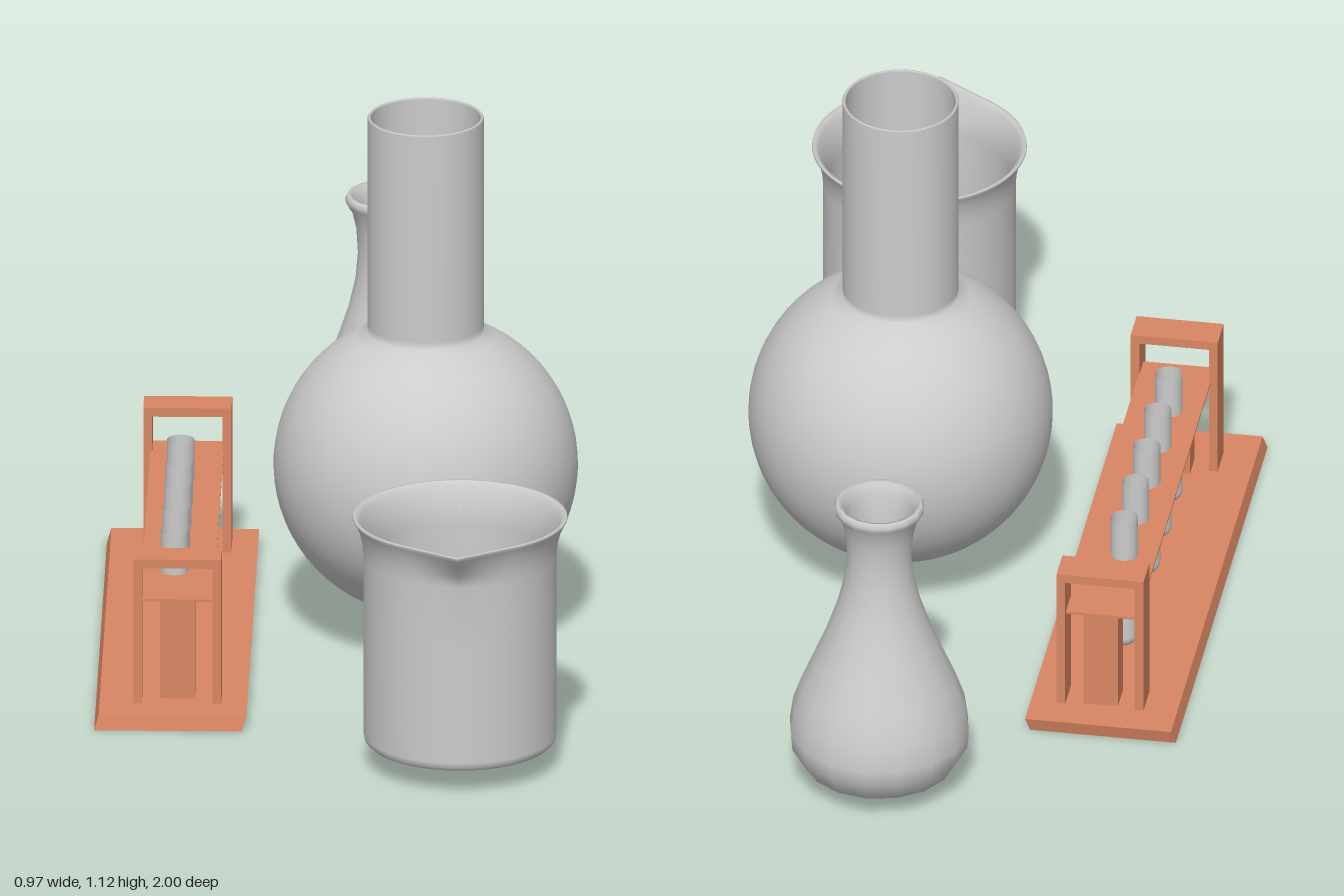
import * as THREE from 'three';

const mat = (color, side = THREE.FrontSide) => new THREE.MeshStandardMaterial({ color, side });
const glass = mat(0xcccccc, THREE.DoubleSide);
const wood = mat(0xd98663);

function add(parent, name, geometry, material, x = 0, y = 0, z = 0) {
  const mesh = new THREE.Mesh(geometry, material);
  mesh.name = name;
  mesh.position.set(x, y, z);
  parent.add(mesh);
  return mesh;
}

function group(parent, name, x = 0, y = 0, z = 0) {
  const g = new THREE.Group();
  g.name = name;
  g.position.set(x, y, z);
  parent.add(g);
  return g;
}

const lathe = (points, sides) =>
  new THREE.LatheGeometry(points.map(([r, y]) => new THREE.Vector2(r, y)), sides, Math.PI);

function addLiquid(parent, radius, y, color, sides) {
  add(parent, 'liquid', new THREE.CircleGeometry(radius, sides).rotateX(-Math.PI / 2),
    mat(color, THREE.DoubleSide), 0, y, 0);
}

// Box given by its limits on each axis
function addBoard(parent, name, [x0, x1], [y0, y1], [z0, z1]) {
  return add(parent, name, new THREE.BoxGeometry(x1 - x0, y1 - y0, z1 - z0), wood,
    (x0 + x1) / 2, (y0 + y1) / 2, (z0 + z1) / 2);
}

// Round flask: sphere with a straight open neck
function buildRoundFlask(parent) {
  const g = group(parent, 'roundFlask', 0.174, 0, -0.015);
  const R = 0.309, cy = 0.378, neck = 0.118, wall = 0.007, top = 1.125;
  const points = [];
  const arc = (r, neckR, from, to) => {
    const end = Math.PI - Math.asin(neckR / r);
    for (let i = 0; i <= 32; i++) {
      const a = end * (from + (to - from) * i / 32);
      points.push([Math.max(0, r * Math.sin(a)), cy - r * Math.cos(a)]);
    }
  };
  arc(R, neck, 0, 1);
  points.push([neck, 0.68], [neck, top - 0.003], [neck - 0.002, top],
    [neck - wall + 0.002, top], [neck - wall, top - 0.003], [neck - wall, 0.68]);
  arc(R - wall, neck - wall, 1, 0);
  add(g, 'flaskGlass', lathe(points, 64), glass);
  addLiquid(g, 0.3, 0.38, 0x4cb8d6, 48);
}

// Beaker: flared rim drawn out to a pouring spout at +z
function buildBeaker(parent) {
  const g = group(parent, 'beaker', 0.261, 0, 0.737);
  const geo = lathe([
    [0, 0.05], [0.178, 0.05], [0.187, 0.052], [0.194, 0.059], [0.196, 0.07],
    [0.196, 0.3], [0.196, 0.45], [0.199, 0.48], [0.205, 0.505], [0.213, 0.524],
    [0.218, 0.531], [0.217, 0.535], [0.211, 0.535], [0.204, 0.526], [0.197, 0.51],
    [0.188, 0.485], [0.184, 0.45], [0.184, 0.3], [0.184, 0.08], [0.176, 0.064], [0, 0.062],
  ], 96);
  // Push the rim outward along the two tangents that meet at the spout tip
  const spread = Math.acos(0.218 / 0.26);
  const p = geo.attributes.position;
  for (let i = 0; i < p.count; i++) {
    const a = Math.abs(Math.atan2(p.getX(i), p.getZ(i)));
    const lift = THREE.MathUtils.smoothstep(p.getY(i), 0.44, 0.525);
    if (a >= spread || lift === 0) continue;
    const k = 1 + lift * (1 / Math.cos(spread - a) - 1);
    p.setX(i, p.getX(i) * k);
    p.setZ(i, p.getZ(i) * k);
  }
  geo.computeVertexNormals();
  add(g, 'beakerGlass', geo, glass);
  addLiquid(g, 0.182, 0.25, 0x7fcf72, 48);
}

// Conical flask: rounded base, narrow neck, rolled lip
function buildConicalFlask(parent) {
  const g = group(parent, 'conicalFlask', 0.084, 0, -0.815);
  add(g, 'flaskGlass', lathe([
    [0, 0.006], [0.095, 0.022], [0.155, 0.055], [0.181, 0.1], [0.184, 0.135],
    [0.177, 0.185], [0.16, 0.235], [0.133, 0.3], [0.107, 0.365], [0.085, 0.43],
    [0.071, 0.49], [0.066, 0.545], [0.069, 0.595], [0.078, 0.635], [0.09, 0.652],
    [0.092, 0.663], [0.087, 0.672], [0.078, 0.67], [0.068, 0.645], [0.06, 0.595],
    [0.058, 0.545], [0.063, 0.49], [0.077, 0.43], [0.099, 0.365], [0.125, 0.3],
    [0.152, 0.235], [0.176, 0.135], [0.148, 0.064], [0, 0.016],
  ], 16), glass);
  addLiquid(g, 0.155, 0.22, 0xe07a55, 16);
}

// Wooden rack with two end frames, a shelf and five tubes
function buildRack(parent) {
  const g = group(parent, 'testTubeRack');
  const base = addBoard(g, 'rackBase', [-0.486, -0.186], [0, 0.03], [-0.575, 0.553]);
  // Slanted edges of the base
  const p = base.geometry.attributes.position;
  for (let i = 0; i < p.count; i++) {
    if (p.getY(i) > 0) p.setXYZ(i, p.getX(i) + 0.009, p.getY(i), p.getZ(i) - 0.008);
  }
  base.geometry.computeVertexNormals();

  for (const [label, z0, z1, legZ] of [
    ['front', 0.4, 0.472, [0.38, 0.44]], ['back', -0.513, -0.441, [-0.505, -0.445]]]) {
    const frame = group(g, label + 'Frame');
    addBoard(frame, 'rightPost', [-0.409, -0.391], [0.03, 0.321], [z0, z1]);
    addBoard(frame, 'leftPost', [-0.248, -0.23], [0.03, 0.321], [z0, z1]);
    addBoard(frame, 'topBar', [-0.409, -0.23], [0.321, 0.34], [z0, z1]);
    addBoard(frame, 'shelfSupport', [-0.355, -0.284], [0.03, 0.243], legZ);
  }
  addBoard(g, 'shelf', [-0.395, -0.246], [0.242, 0.247], [-0.505, 0.45]);

  // Open tubes with round bottoms
  const r = 0.028, profile = [];
  for (let i = 0; i <= 8; i++) {
    const a = i / 8 * Math.PI / 2;
    profile.push([r * Math.sin(a), 0.031 + r * (1 - Math.cos(a))]);
  }
  profile.push([r, 0.334]);
  const tube = lathe(profile, 24);
  for (let i = -2; i <= 2; i++) add(g, 'testTube', tube, glass, -0.329, 0, 0.004 + i * 0.137);
}

export function createModel() {
  const model = new THREE.Group();
  model.name = 'laboratoryGlassware';
  buildRoundFlask(model);
  buildBeaker(model);
  buildConicalFlask(model);
  buildRack(model);
  return model;
}
